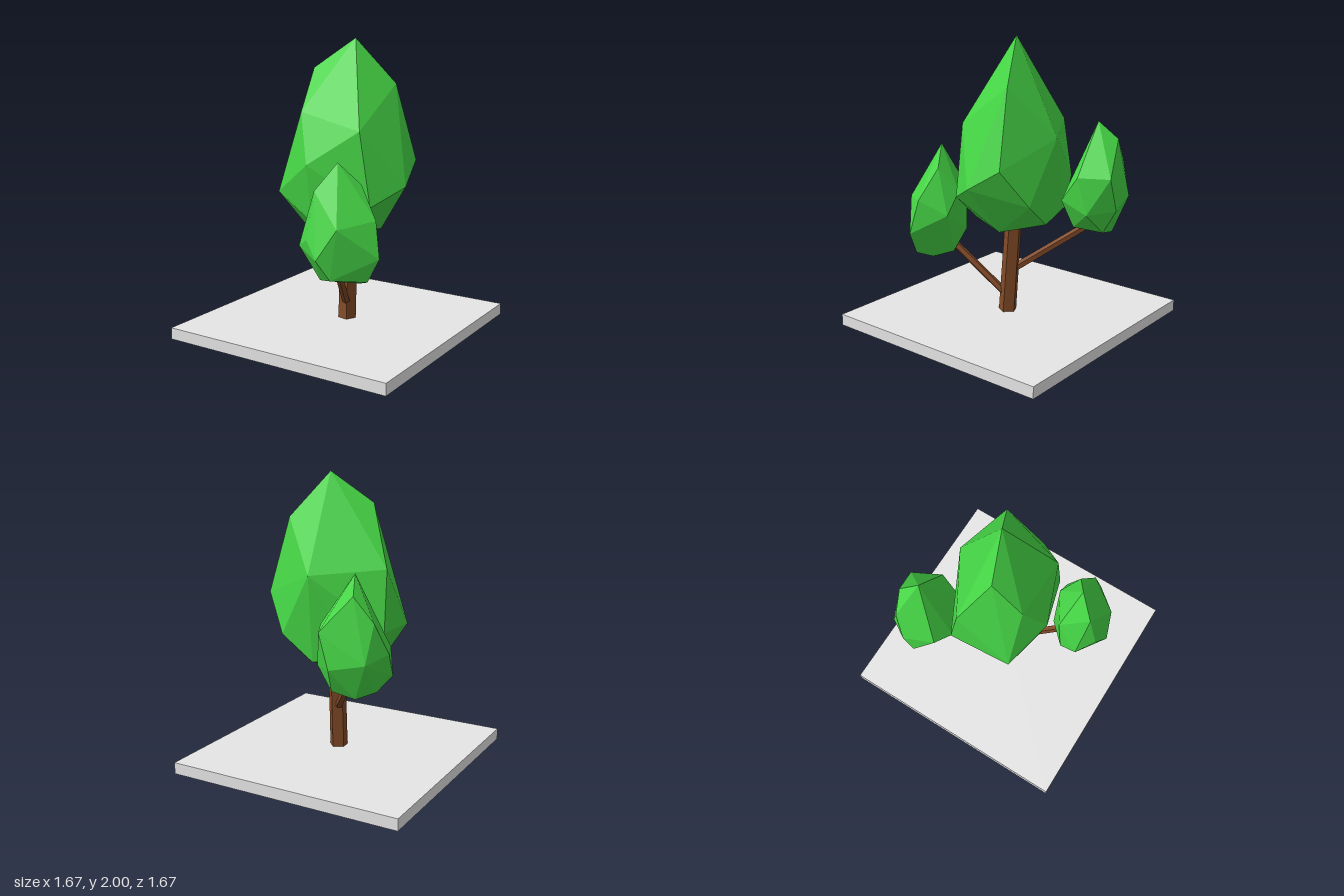
import * as THREE from 'three';
import { ConvexGeometry } from 'three/addons/geometries/ConvexGeometry.js';

const material = (name, color, side = THREE.FrontSide) => {
  const m = new THREE.MeshStandardMaterial({ color, side });
  m.name = name;
  return m;
};

export function createModel() {
  const tree = new THREE.Group();
  tree.name = 'tree';
  const leaf = material('leaf green', 0x46d746);
  const bark = material('bark brown', 0x824a27, THREE.DoubleSide);
  const stone = material('stone grey', 0xe6e6e6, THREE.DoubleSide);

  const add = (name, geometry, mat) => {
    const mesh = new THREE.Mesh(geometry, mat);
    mesh.name = name;
    tree.add(mesh);
    return mesh;
  };

  // Five-sided open limb running between two points
  const limb = (name, from, to, r0, r1) => {
    const a = new THREE.Vector3(...from), b = new THREE.Vector3(...to);
    const dir = b.clone().sub(a);
    const g = new THREE.CylinderGeometry(r1, r0, dir.length(), 5, 1, true, 1.71).toNonIndexed();
    g.computeVertexNormals();
    const mesh = add(name, g, bark);
    mesh.position.copy(a).add(b).multiplyScalar(0.5);
    mesh.quaternion.setFromUnitVectors(new THREE.Vector3(0, 1, 0), dir.normalize());
  };

  // Irregular faceted crown wrapped round its corner points
  const crown = (name, corners) =>
    add(name, new ConvexGeometry(corners.map(c => new THREE.Vector3(...c))), leaf);

  // Square ground slab, hollow and open underneath (bottom face left out)
  const slab = new THREE.BoxGeometry(1.67, 0.08, 1.67);
  slab.setIndex([...slab.index.array].filter((_, i) => i < 18 || i >= 24));
  slab.clearGroups();
  add('base', slab, stone).position.y = 0.04;

  // Leaning trunk, its foot just piercing the slab, and two branches
  limb('trunk', [0.04, 0.067, 0], [0.03, 0.85, -0.055], 0.064, 0.06);
  limb('frontBranch', [0.045, 0.2, 0.02], [0.22, 0.6, 0.42], 0.028, 0.026);
  limb('backBranch', [0.01, 0.395, -0.05], [-0.325, 0.745, -0.49], 0.028, 0.026);

  crown('mainCrown', [
    [0.05, 2, -0.085], [-0.22, 1.8, 0.01], [0.295, 1.7, -0.205],
    [-0.19, 1.52, 0.21], [0.26, 1.42, 0.205], [-0.4, 1.4, -0.15], [0.035, 1.36, -0.405],
    [-0.07, 1.19, 0.33], [0.43, 1.19, -0.25], [0.478, 1.045, -0.02],
    [-0.415, 1, -0.21], [-0.375, 0.965, 0.22], [0.265, 0.94, -0.36],
    [0.055, 0.93, 0.25], [0.34, 0.93, 0.2], [-0.09, 0.8, 0.25],
    [0.05, 0.77, -0.335], [-0.28, 0.8, -0.25], [0.1, 0.73, 0.235],
    [0.25, 0.72, -0.1], [-0.22, 0.66, 0.045], [0.03, 0.665, 0.04],
  ]);

  crown('frontCrown', [
    [0.235, 1.25, 0.42], [0.36, 1.11, 0.34], [0.14, 1.08, 0.545],
    [0.055, 0.93, 0.36], [0.27, 0.945, 0.24], [0.5, 0.905, 0.395], [0.35, 0.87, 0.612],
    [0.39, 0.8, 0.237], [0.13, 0.78, 0.62], [0.012, 0.71, 0.53],
    [0.55, 0.675, 0.435], [0.23, 0.67, 0.665], [0.018, 0.65, 0.41], [0.15, 0.65, 0.275],
    [0.3, 0.54, 0.61], [0.475, 0.52, 0.45], [0.25, 0.5, 0.31],
    [0.135, 0.485, 0.475], [0.38, 0.48, 0.385],
  ]);

  crown('backCrown', [
    [-0.345, 1.425, -0.47], [-0.4, 1.31, -0.595], [-0.525, 1.15, -0.56],
    [-0.2, 1.08, -0.67], [-0.1, 1.08, -0.475], [-0.59, 0.95, -0.485],
    [-0.505, 0.94, -0.29], [-0.12, 0.9, -0.335], [-0.5, 0.9, -0.63],
    [-0.37, 0.86, -0.235], [-0.27, 0.85, -0.675], [-0.115, 0.83, -0.54],
    [-0.585, 0.8, -0.42], [-0.505, 0.695, -0.48], [-0.245, 0.69, -0.59],
    [-0.2, 0.7, -0.38], [-0.36, 0.655, -0.345], [-0.4, 0.655, -0.565],
  ]);

  return tree;
}
